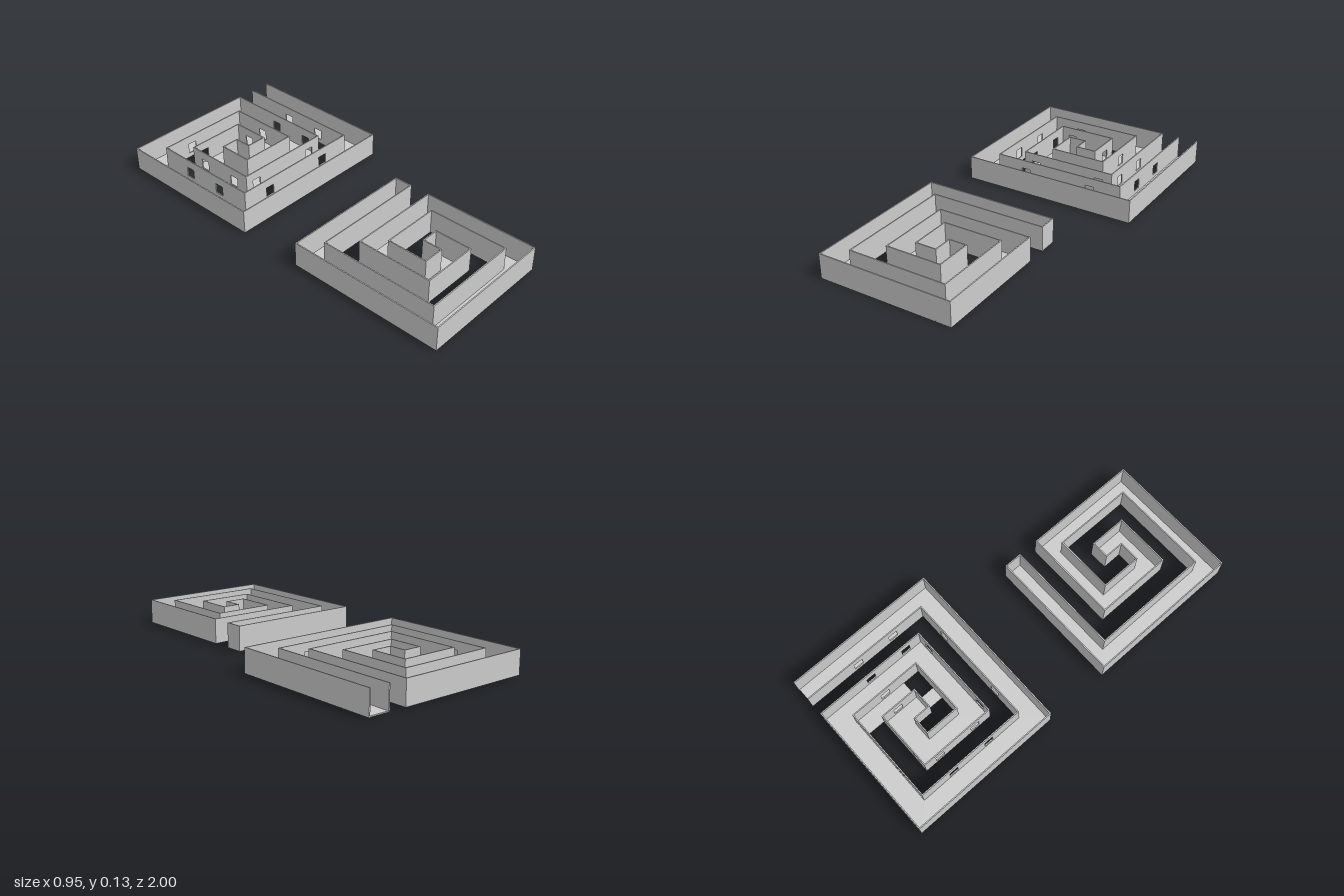
import * as THREE from 'three';

const T = 0.006;      // sheet thickness
const TOP = 0.13;     // rim height
const material = new THREE.MeshStandardMaterial({ color: 0xcccccc, flatShading: true, side: THREE.DoubleSide });

function addMesh(group, geometry, name) {
  const mesh = new THREE.Mesh(geometry, material);
  mesh.name = name;
  group.add(mesh);
  return mesh;
}

// Offsets a right-angled path [x, z] sideways by d.
function offsetPath(path, d) {
  const normals = path.slice(1).map(([x, z], i) => [Math.sign(z - path[i][1]), -Math.sign(x - path[i][0])]);
  return path.map(([x, z], i) => {
    const a = normals[i - 1] || [0, 0], b = normals[i] || [0, 0];
    return [x + d * (a[0] + b[0]), z + d * (a[1] + b[1])];
  });
}

// Upright sheet from a to b, with square windows at distances along it.
function addWall(group, a, b, base, windows, name) {
  const dx = b[0] - a[0], dz = b[1] - a[1], length = Math.hypot(dx, dz);
  const rect = (C, s0, s1, y0, y1) => {
    const p = new C();
    p.moveTo(s0, y0).lineTo(s1, y0).lineTo(s1, y1).lineTo(s0, y1).closePath();
    return p;
  };
  const shape = rect(THREE.Shape, -T / 2, length + T / 2, base, TOP);
  for (const s of windows) {
    if (s > 0.04 && s < length - 0.04) shape.holes.push(rect(THREE.Path, s - 0.025, s + 0.025, 0.03, 0.085));
  }
  const geometry = new THREE.ExtrudeGeometry(shape, { depth: T, bevelEnabled: false }).translate(0, 0, -T / 2);
  const wall = addMesh(group, geometry, name);
  wall.rotation.y = Math.atan2(-dz, dx);
  wall.position.set(a[0], 0, a[1]);
}

// Open-topped spiral trough following a centre line.
function createTrough(name, path, width, base, openStart, pierced) {
  const group = new THREE.Group();
  group.name = name;

  // Floor
  const outline = [...offsetPath(path, width / 2), ...offsetPath(path, -width / 2).reverse()];
  const shape = new THREE.Shape(outline.map(([x, z]) => new THREE.Vector2(x, -z)));
  const floor = new THREE.ExtrudeGeometry(shape, { depth: T, bevelEnabled: false });
  addMesh(group, floor.rotateX(-Math.PI / 2).translate(0, base, 0), 'floor');

  // Side walls; the outermost turn has no windows on its outer side
  const sides = [1, -1].map((s) => offsetPath(path, s * (width - T) / 2));
  sides.forEach((side, k) => {
    for (let i = 0; i < side.length - 1; i++) {
      const a = side[i], b = side[i + 1];
      const alongX = Math.abs(b[0] - a[0]) > Math.abs(b[1] - a[1]);
      const axis = alongX ? 0 : 1, dir = Math.sign(b[axis] - a[axis]);
      const spots = alongX ? [-0.195, 0.185] : [-0.7, -0.48];
      const windows = pierced && (k === 1 || i > 3) ? spots.map((p) => (p - a[axis]) * dir) : [];
      addWall(group, a, b, base, windows, k ? 'innerWall' : 'outerWall');
    }
  });

  // End caps
  const last = path.length - 1;
  addWall(group, sides[0][last], sides[1][last], base, [], 'innerEndCap');
  if (!openStart) addWall(group, sides[0][0], sides[1][0], base, [], 'outerEndCap');
  return group;
}

export function createModel() {
  const model = new THREE.Group();
  model.name = 'spiralTroughs';

  // Closed front spiral
  model.add(createTrough('frontSpiral', [
    [0.24, 0.22], [-0.427, 0.22], [-0.427, 0.948], [0.193, 0.948], [0.193, 0.426],
    [-0.217, 0.426], [-0.217, 0.738], [-0.012, 0.738], [-0.012, 0.588],
  ], 0.1, 0, false, false));

  // Windowed rear spiral, open at its outer end
  const rear = createTrough('rearSpiral', [
    [0.413, -0.997], [0.413, -0.235], [-0.417, -0.235], [-0.417, -0.942], [0.205, -0.942],
    [0.205, -0.442], [-0.207, -0.442], [-0.207, -0.733], [-0.002, -0.733], [-0.002, -0.588],
  ], 0.115, 0.005, true, true);

  // Thin plates bridging the gap near the centre
  for (const [x0, x1, z0, z1] of [[0.06, 0.148, -0.885, -0.59], [-0.037, 0.032, -0.588, -0.5]]) {
    const plate = new THREE.BoxGeometry(x1 - x0, T, z1 - z0);
    addMesh(rear, plate, 'bridgePlate').position.set((x0 + x1) / 2, 0.005 + T / 2, (z0 + z1) / 2);
  }
  model.add(rear);
  return model;
}
